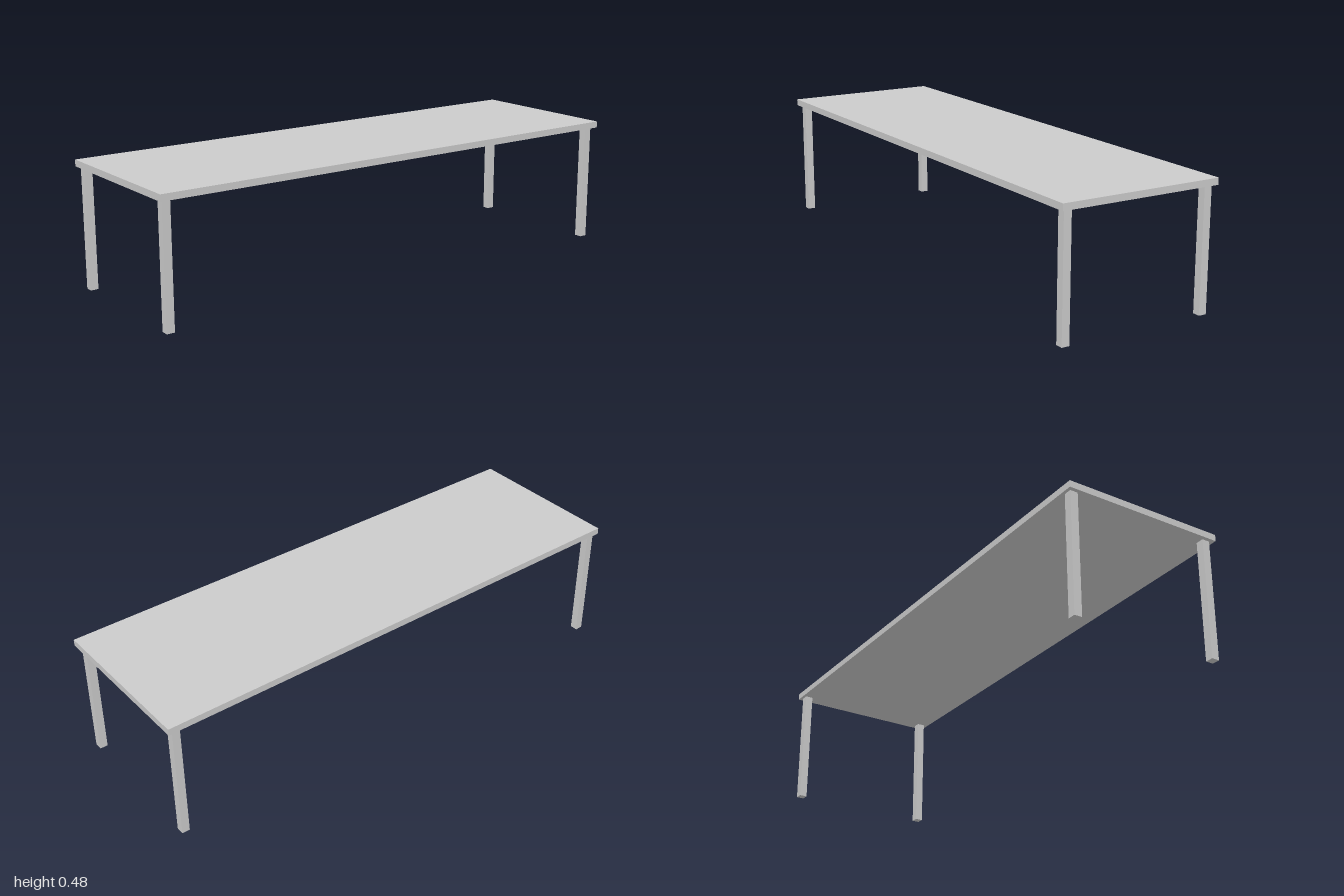
import * as THREE from 'three';

export function createModel() {
  const group = new THREE.Group();
  const material = new THREE.MeshStandardMaterial({ color: 0xcccccc, flatShading: true });

  const height = 0.481, topThickness = 0.025, topDepth = 0.624;
  const legHeight = height - topThickness, legSize = 0.03;

  function addBox(name, size, position) {
    const mesh = new THREE.Mesh(new THREE.BoxGeometry(...size), material);
    mesh.name = name;
    mesh.position.set(...position);
    group.add(mesh);
  }

  // Flat slab top
  addBox('tableTop', [2, topThickness, topDepth], [0, height - topThickness / 2, 0]);

  // Four square legs, set in slightly from the corners
  for (const [side, x] of [['Left', 0.966], ['Right', -0.97]]) {
    for (const [end, z] of [['front', 0.28], ['back', -0.285]]) {
      addBox(`${end}${side}Leg`, [legSize, legHeight, legSize], [x, legHeight / 2, z]);
    }
  }

  return group;
}
